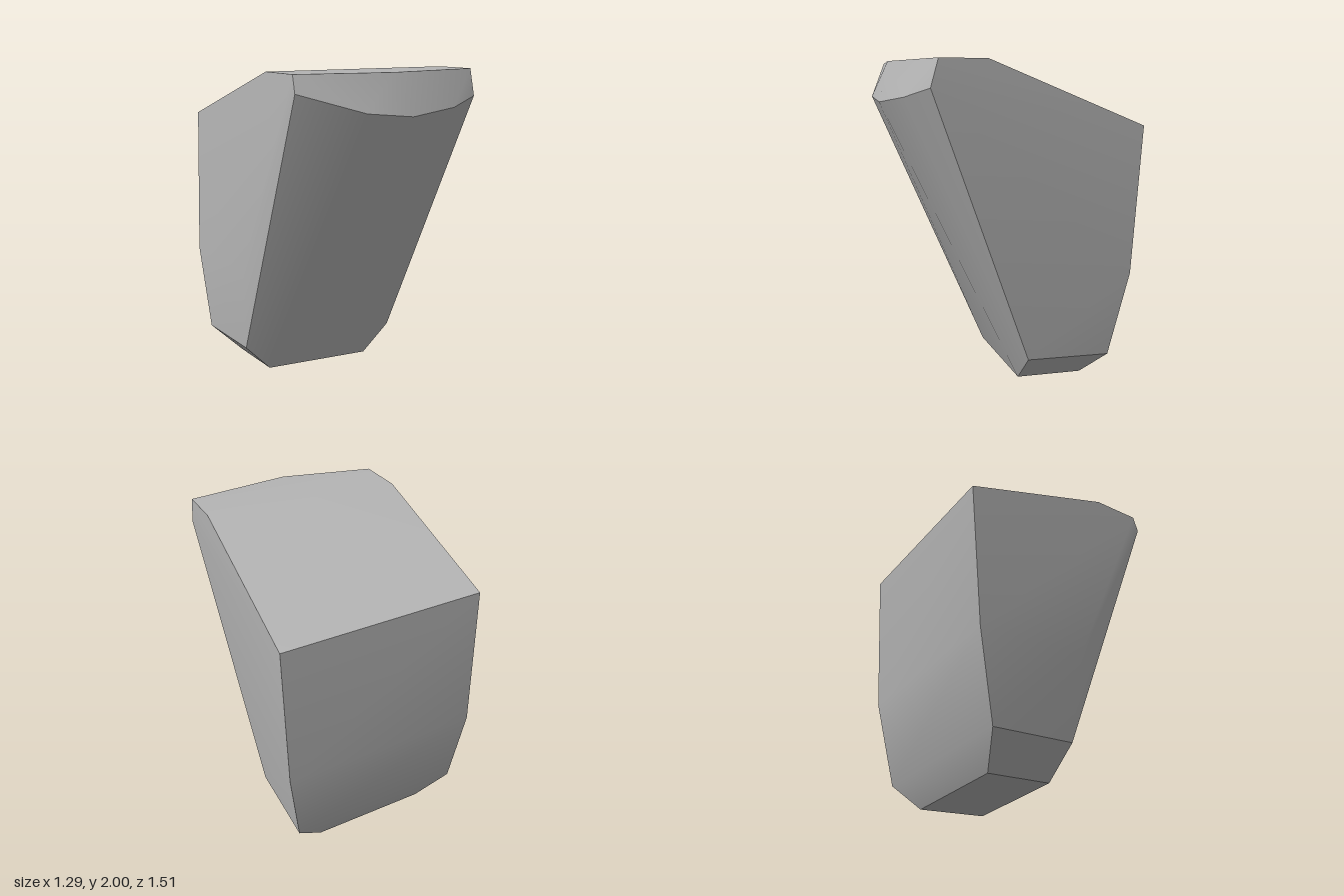
import * as THREE from 'three';
import { ConvexGeometry } from 'three/addons/geometries/ConvexGeometry.js';
import { toCreasedNormals } from 'three/addons/utils/BufferGeometryUtils.js';

// Corners of the faceted block, grouped by region
const corners = {
  // bowed lip where the front meets the top bevel
  frontLip: [[-0.62, 1.9, 0.57], [-0.26, 1.79, 0.72], [0.03, 1.76, 0.755], [0.37, 1.79, 0.71], [0.6, 1.84, 0.63]],
  // upper edge of the bevel, then the line where the top starts to slope
  topEdge: [[-0.615, 2, 0.54], [-0.05, 2, 0.675], [0.605, 2, 0.585]],
  topRidge: [[-0.6, 2, 0.23], [0.615, 2, 0.3]],
  // back, from the top edge down to the chamfer
  back: [[-0.57, 1.69, -0.755], [0.645, 1.62, -0.695], [-0.62, 0.77, -0.715], [0.595, 0.71, -0.66],
    [-0.6, 0.23, -0.61], [0.5, 0.17, -0.57]],
  // slight bulge of the right side
  sideBulge: [[-0.65, 0.79, -0.02]],
  // lower chamfers and the base
  frontChamfer: [[-0.61, 0.25, -0.08], [0.48, 0.2, -0.02]],
  base: [[-0.43, 0.06, -0.1], [0.29, 0.023, -0.04], [-0.42, 0.045, -0.51], [0.3, 0, -0.48]],
};

export function createModel() {
  const stone = new THREE.MeshStandardMaterial({ color: 0xb4b4b4 });
  stone.name = 'grey stone';

  const points = Object.values(corners).flat().map((p) => new THREE.Vector3(...p));
  const block = new THREE.Mesh(toCreasedNormals(new ConvexGeometry(points), 0.5), stone);
  block.name = 'stoneBlock';

  const group = new THREE.Group();
  group.name = 'stone';
  group.add(block);
  return group;
}
